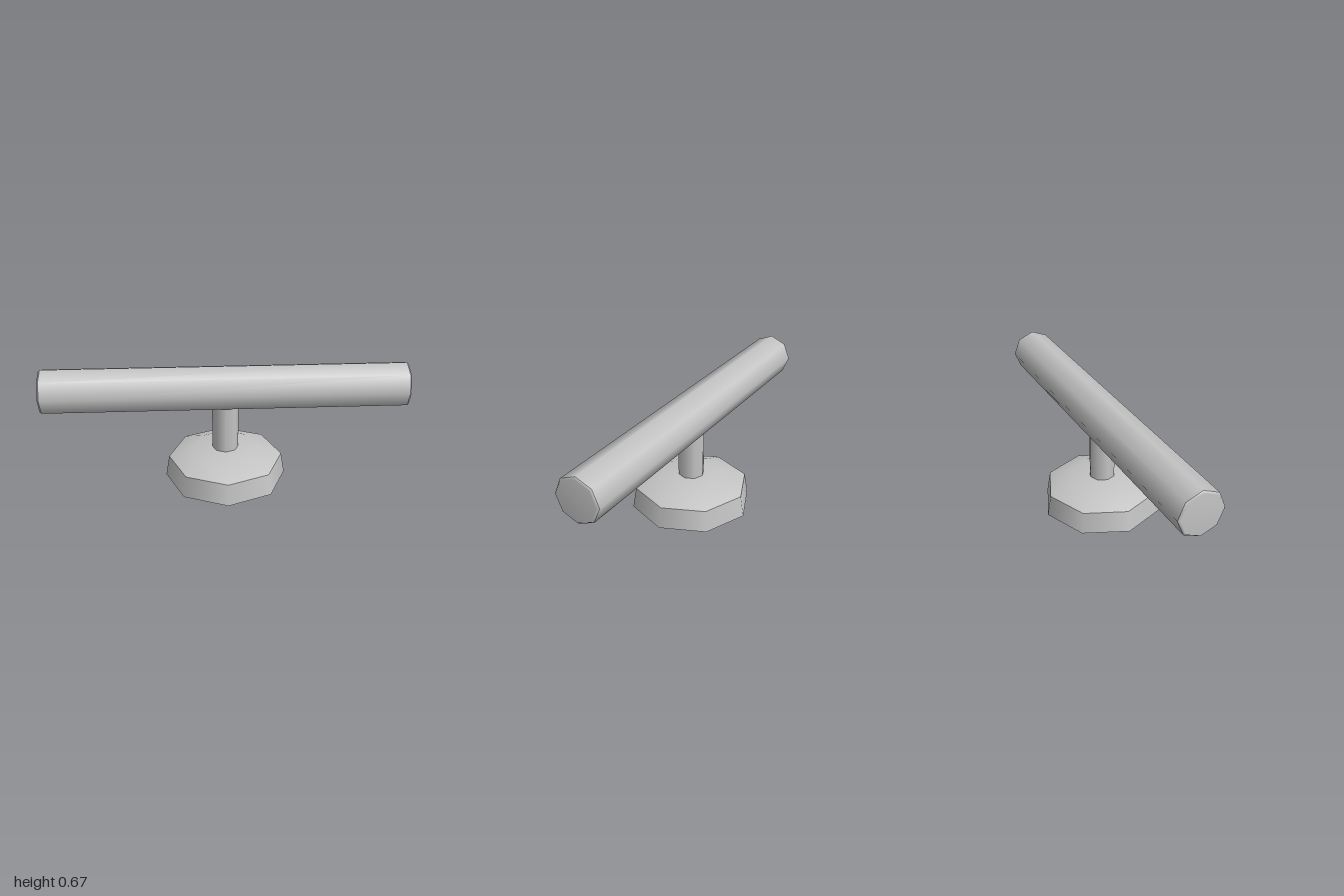
import * as THREE from 'three';

const SIDES = 8;

// Octagonal turned part; a repeated profile point makes a sharp edge
function turned(name, profile, material) {
  const points = profile.map(([r, y]) => new THREE.Vector2(r, y));
  const mesh = new THREE.Mesh(new THREE.LatheGeometry(points, SIDES), material);
  mesh.name = name;
  return mesh;
}

export function createModel() {
  const group = new THREE.Group();
  group.name = 'knobWithBarHandle';
  const grey = new THREE.MeshStandardMaterial({ color: 0xc4c4c4 });
  grey.name = 'grey';

  // Flared mounting base with a sloped shoulder
  const base = turned('base', [
    [0, 0], [0.34, 0], [0.34, 0],
    [0.32, 0.12], [0.32, 0.12],
    [0.175, 0.18], [0, 0.18],
  ], grey);

  // Stem running up into the bar
  const stem = turned('stem', [[0.073, 0.17], [0.073, 0.45], [0.073, 0.45], [0, 0.45]], grey);

  // Horizontal bar with small softened ends
  const bar = turned('bar', [
    [0, -1], [0.116, -1], [0.126, -0.99], [0.126, -0.99],
    [0.126, 0.99], [0.126, 0.99], [0.116, 1], [0, 1],
  ], grey);
  bar.rotation.z = -Math.PI / 2;
  bar.position.y = 0.547;

  group.add(base, stem, bar);
  return group;
}
